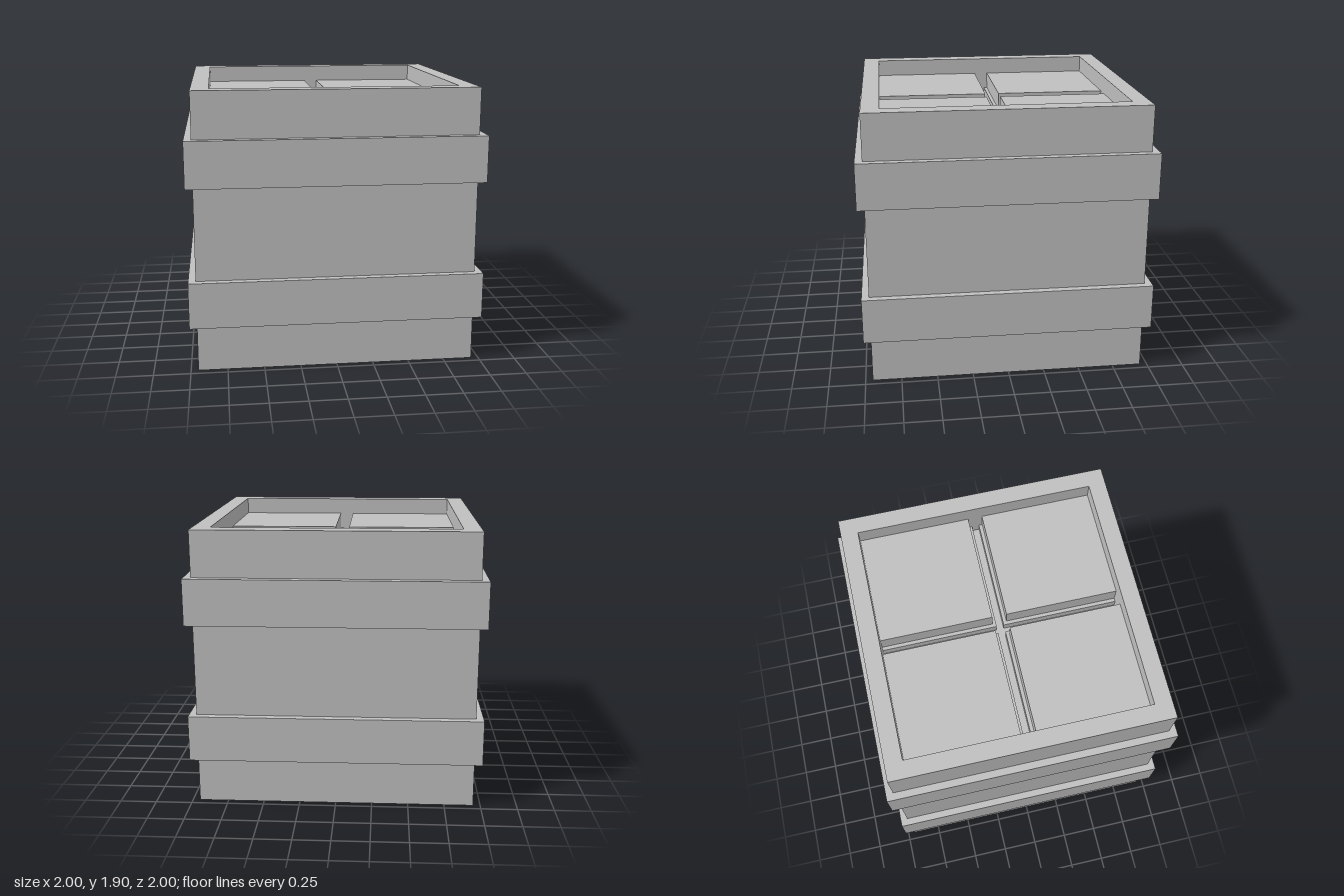
import * as THREE from 'three';

// Square-section solid swept from a (half-width, height) profile, with crisp faces
function squareLathe(profile) {
  const points = profile.map(([w, y]) => new THREE.Vector2(w * Math.SQRT2, y));
  const geometry = new THREE.LatheGeometry(points, 4, Math.PI / 4).toNonIndexed();
  geometry.computeVertexNormals();
  return geometry;
}

export function createModel() {
  const group = new THREE.Group();
  const grey = new THREE.MeshStandardMaterial({ color: 0xbfbfbf });
  grey.name = 'grey';

  const add = (name, geometry, x = 0, y = 0, z = 0) => {
    const mesh = new THREE.Mesh(geometry, grey);
    mesh.name = name;
    mesh.position.set(x, y, z);
    group.add(mesh);
  };

  const half = 0.95, inner = 0.83, top = 1.9;
  const floor = 1.6, ledge = 1.66, panelTop = 1.78;

  // Crate body with a raised rim around a recessed top
  add('body', squareLathe([
    [0, 0], [half, 0], [half, top], [inner, top], [inner, floor], [0, floor],
  ]));

  // Two bands wrapped around the sides
  const band = squareLathe([[half, 0], [1, 0], [1, 0.316], [half, 0.316]]);
  add('lowerBand', band, 0, 0.318);
  add('upperBand', band, 0, 1.269);

  // Four lid panels on slightly wider bases, leaving a stepped cross groove
  const addQuarter = (name, sx, sz, gap, y0, y1) => {
    const size = inner - gap, mid = (inner + gap) / 2;
    add(name, new THREE.BoxGeometry(size, y1 - y0, size), sx * mid, (y0 + y1) / 2, sz * mid);
  };
  for (const sx of [-1, 1]) {
    for (const sz of [-1, 1]) {
      addQuarter('lidPanel', sx, sz, 0.05, ledge, panelTop);
      addQuarter('panelBase', sx, sz, 0.025, floor, ledge);
    }
  }

  return group;
}
